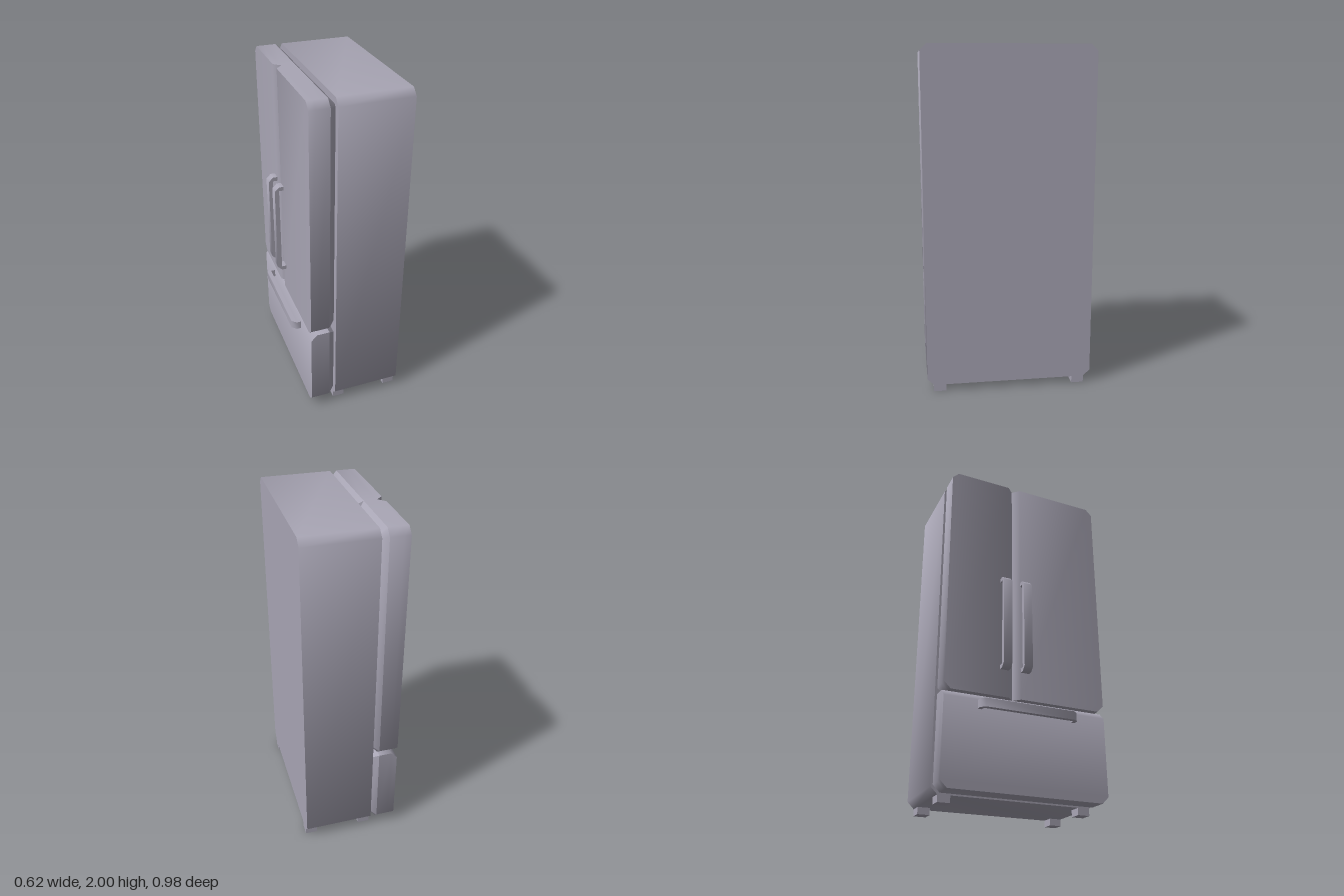
import * as THREE from 'three';
import { toCreasedNormals } from 'three/addons/utils/BufferGeometryUtils.js';

const C = 0.038; // chamfer used on every large edge

// Chamfered rectangle in (z, y); corner order: -z bottom, +z bottom, +z top, -z top.
function outline(z0, z1, y0, y1, [a, b, c, d]) {
  return [
    [z0, y0 + a], [z0 + a, y0], [z1 - b, y0], [z1, y0 + b],
    [z1, y1 - c], [z1 - c, y1], [z0 + d, y1], [z0, y1 - d],
  ];
}

// Skin matching outlines placed at increasing x, with optional end caps.
function loft(sections, frontCap, backCap) {
  const rings = sections.map(([x, pts]) => pts.map(([z, y]) => new THREE.Vector3(x, y, z)));
  const pos = [];
  const tri = (a, b, c) => {
    const area = b.clone().sub(a).cross(c.clone().sub(a)).length();
    if (area > 1e-8) for (const p of [a, b, c]) pos.push(p.x, p.y, p.z);
  };
  const n = rings[0].length;
  for (let r = 0; r + 1 < rings.length; r++) {
    for (let i = 0; i < n; i++) {
      const j = (i + 1) % n, p = rings[r], q = rings[r + 1];
      tri(p[i], q[i], q[j]);
      tri(p[i], q[j], p[j]);
    }
  }
  const first = rings[0], last = rings[rings.length - 1];
  for (let i = 1; i < n - 1; i++) {
    if (frontCap) tri(first[0], first[i], first[i + 1]);
    if (backCap) tri(last[0], last[i + 1], last[i]);
  }
  const geo = new THREE.BufferGeometry();
  geo.setAttribute('position', new THREE.Float32BufferAttribute(pos, 3));
  return toCreasedNormals(geo, 0.9);
}

export function createModel() {
  const model = new THREE.Group();
  const metal = new THREE.MeshStandardMaterial({ color: 0xa9a6b5 });
  metal.name = 'brushed metal';

  const add = (name, geo, parent = model) => {
    const mesh = new THREE.Mesh(geo, metal);
    mesh.name = name;
    parent.add(mesh);
    return mesh;
  };

  // Cabinet
  const shell = outline(-0.49, 0.488, 0.04, 2, [C, C, C, C]);
  add('cabinet', loft([[-0.105, shell], [0.308, shell]], true, true));

  // Door panel: front edges cut by [z0, z1, top], back edge bevelled all round
  function panel(name, z0, z1, y0, y1, corners, [cutA, cutB, cutTop]) {
    const group = new THREE.Group();
    group.name = name;
    const full = outline(z0, z1, y0, y1, corners);
    const face = outline(z0 + cutA, z1 - cutB, y0, y1 - cutTop, corners);
    const back = outline(z0 + C, z1 - C, y0 + C, y1 - C, corners.map((c) => c * 0.41));
    add(name + 'Front', loft([[-0.257, face], [-0.219, full], [-0.144, full]], true, false), group);
    add(name + 'BackBevel', loft([[-0.144, full], [-0.105, back]], false, false), group);
    model.add(group);
  }
  panel('narrowDoor', -0.49, -0.076, 0.571, 2, [C, 0, 0, C], [0, C, 0]);
  panel('wideDoor', -0.076, 0.488, 0.571, 2, [0, C, C, 0], [C, 0, 0]);
  panel('freezerDrawer', -0.49, 0.488, 0.04, 0.571, [C, C, 0, 0], [0, 0, C]);

  // Bracket handles
  function handle(length, width) {
    const h = length / 2, k = 0.026, t = 0.024;
    const shape = new THREE.Shape([
      [-0.257, -h], [-0.284, -h], [-0.31, -h + k], [-0.31, h - k], [-0.284, h], [-0.257, h],
      [-0.257, h - t], [-0.284, h - t], [-0.284, -h + t], [-0.257, -h + t],
    ].map(([x, y]) => new THREE.Vector2(x, y)));
    const geo = new THREE.ExtrudeGeometry(shape, { depth: width, bevelEnabled: false });
    geo.translate(0, 0, -width / 2);
    return toCreasedNormals(geo, 0.9);
  }
  add('narrowDoorHandle', handle(0.58, 0.052)).position.set(0, 1.023, -0.141);
  add('wideDoorHandle', handle(0.58, 0.052)).position.set(0, 1.023, -0.014);
  const drawerHandle = add('drawerHandle', handle(0.588, 0.05));
  drawerHandle.rotation.x = Math.PI / 2;
  drawerHandle.position.set(0, 0.505, -0.001);

  // Feet
  for (const x of [-0.069, 0.272]) {
    for (const z of [-0.415, 0.415]) {
      add('foot', new THREE.BoxGeometry(0.072, 0.042, 0.072)).position.set(x, 0.021, z);
    }
  }
  return model;
}
